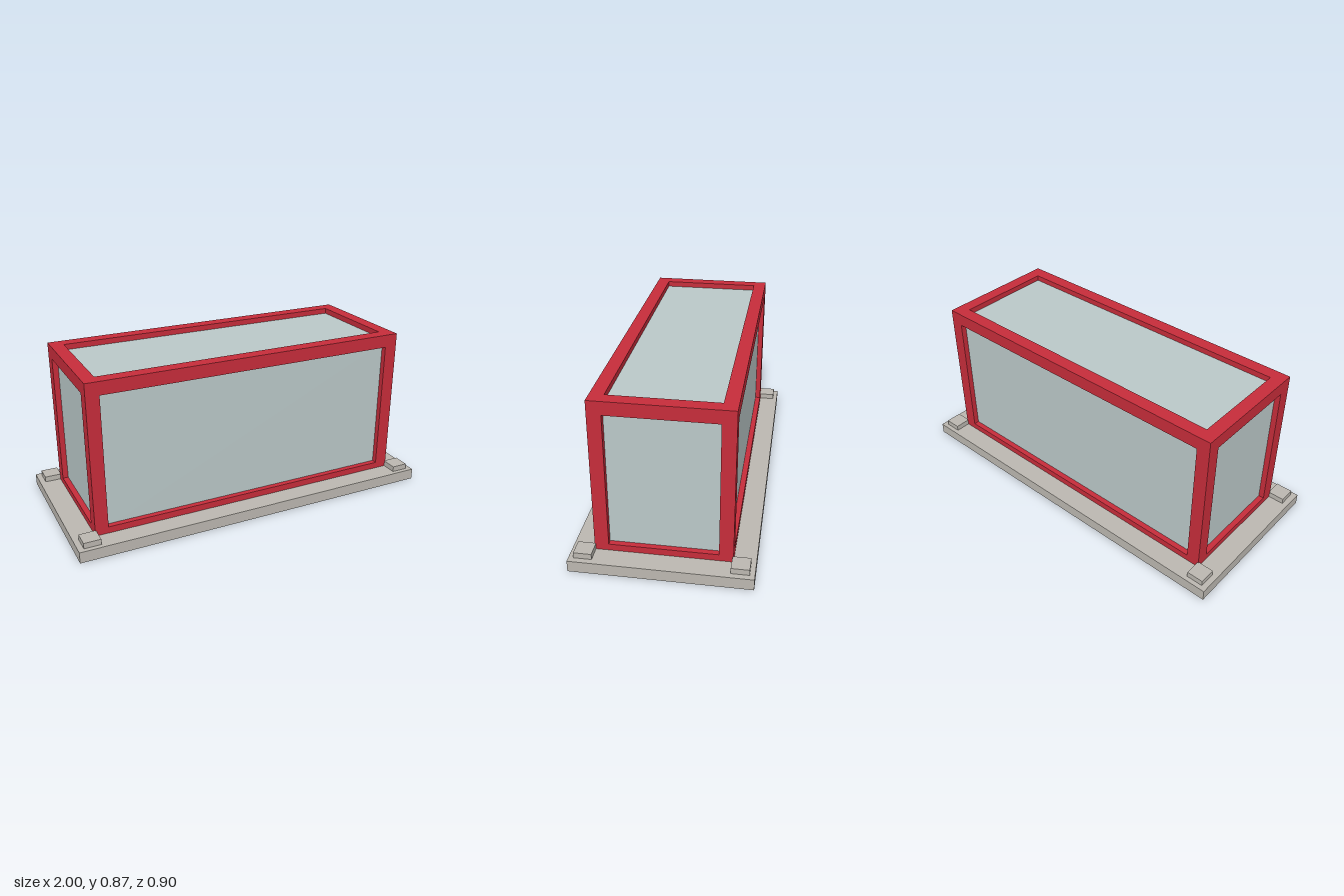
import * as THREE from 'three';

const mat = (name, color) => {
  const m = new THREE.MeshStandardMaterial({ color });
  m.name = name;
  return m;
};

export function createModel() {
  const model = new THREE.Group();
  model.name = 'glazedBoxOnPlinth';
  const red = mat('frameRed', 0xc62c3a);
  const glass = mat('paleGlass', 0xbac8c8);
  const stone = mat('warmStone', 0xbbb7b0);

  // Box given by its size and centre
  const box = (name, material, w, h, d, x, y, z) => {
    const mesh = new THREE.Mesh(new THREE.BoxGeometry(w, h, d), material);
    mesh.name = name;
    mesh.position.set(x, y, z);
    model.add(mesh);
  };

  const X = 0.885, Z = 0.34, BAR = 0.07; // frame half extents, bar thickness
  const Y0 = 0.06, SILL = 0.095, TOP = 0.873;
  const RECESS = 0.03;

  // Plinth slab
  box('base', stone, 2, Y0, 0.9, 0, Y0 / 2, 0);

  // Glazed body, set back behind the frame
  const glassTop = TOP - RECESS;
  box('glassPanels', glass, 2 * (X - RECESS), glassTop - Y0, 2 * (Z - RECESS), 0, (Y0 + glassTop) / 2, 0);

  // Corner posts and corner blocks on the plinth
  for (const sx of [-1, 1]) for (const sz of [-1, 1]) {
    box('cornerPost', red, BAR, TOP - Y0, BAR, sx * (X - BAR / 2), (Y0 + TOP) / 2, sz * (Z - BAR / 2));
    box('cornerBlock', stone, 0.09, 0.03, 0.09, sx * 0.925, Y0 + 0.015, sz * 0.38);
  }

  // Top rails and low sills between the posts
  for (const [name, low, high] of [['topRail', TOP - BAR, TOP], ['bottomRail', Y0, SILL]]) {
    const h = high - low, y = (low + high) / 2;
    for (const s of [-1, 1]) {
      box(name, red, 2 * (X - BAR), h, BAR, 0, y, s * (Z - BAR / 2));
      box(name, red, BAR, h, 2 * (Z - BAR), s * (X - BAR / 2), y, 0);
    }
  }
  return model;
}
